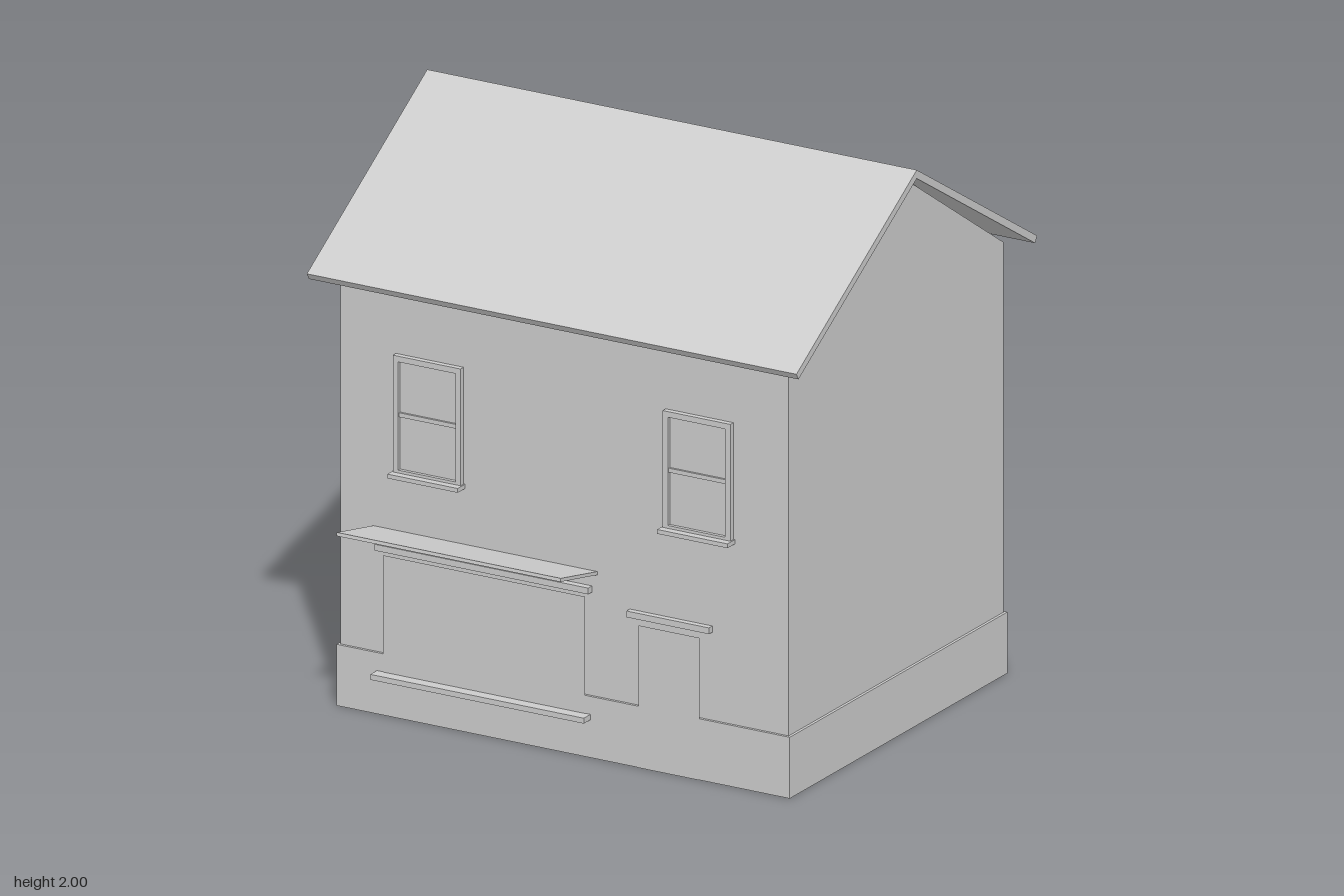
import * as THREE from 'three';

export function createModel() {
  const model = new THREE.Group();
  model.name = 'shopHouse';
  const grey = new THREE.MeshStandardMaterial({ color: 0xcccccc });
  grey.name = 'plain grey';

  const add = (name, geometry, parent = model) => {
    const mesh = new THREE.Mesh(geometry, grey);
    mesh.name = name;
    parent.add(mesh);
    return mesh;
  };
  // Box given by its limits on each axis
  const box = (name, x0, x1, y0, y1, z0, z1, parent = model) => {
    const mesh = add(name, new THREE.BoxGeometry(x1 - x0, y1 - y0, z1 - z0), parent);
    mesh.position.set((x0 + x1) / 2, (y0 + y1) / 2, (z0 + z1) / 2);
    return mesh;
  };
  // Front-facing thin panel
  const panel = (name, x0, x1, y0, y1, z, parent = model) => {
    const mesh = add(name, new THREE.PlaneGeometry(x1 - x0, y1 - y0), parent);
    mesh.position.set((x0 + x1) / 2, (y0 + y1) / 2, z);
    return mesh;
  };
  // Prism along x from a side profile of [z, y] points
  const prism = (name, points, x0, x1) => {
    const shape = new THREE.Shape(points.map(([z, y]) => new THREE.Vector2(-z, y)));
    const geometry = new THREE.ExtrudeGeometry(shape, { depth: x1 - x0, bevelEnabled: false });
    geometry.rotateY(Math.PI / 2).translate(x0, 0, 0);
    return add(name, geometry);
  };

  const front = 0.615, back = -0.765, ridge = -0.075;

  // Gabled body and plinth
  prism('walls', [[front, 0], [front, 1.515], [ridge, 1.973], [back, 1.515], [back, 0]], -0.86, 0.86);
  box('plinth', -0.87, 0.87, 0, 0.215, -0.775, 0.625);

  // Two overhanging roof slabs
  for (const s of [1, -1]) {
    prism(s > 0 ? 'frontRoof' : 'backRoof', [
      [ridge, 2], [ridge + s * 0.774, 1.526], [ridge + s * 0.761, 1.504], [ridge, 1.97],
    ], -0.94, 0.94);
  }

  // Upper windows: pane, frame, middle rail and sill
  for (const s of [-1, 1]) {
    const win = new THREE.Group();
    win.name = s > 0 ? 'leftWindow' : 'rightWindow';
    win.position.x = s * 0.518;
    model.add(win);
    const z = 0.635;
    panel('pane', -0.13, 0.13, 0.86, 1.275, 0.622, win);
    for (const e of [-1, 1]) {
      box('stile', e * 0.12 - 0.01, e * 0.12 + 0.01, 0.86, 1.275, front, z, win);
    }
    box('topRail', -0.11, 0.11, 1.255, 1.275, front, z, win);
    box('middleRail', -0.11, 0.11, 1.06, 1.075, front, 0.63, win);
    box('bottomRail', -0.11, 0.11, 0.86, 0.875, front, z, win);
    box('sill', -0.135, 0.135, 0.85, 0.865, front, 0.662, win);
  }

  // Shopfront and door
  panel('shopWindow', -0.69, 0.085, 0.02, 0.562, 0.627);
  panel('door', 0.29, 0.525, 0, 0.5, 0.627);
  box('shopLintel', -0.715, 0.105, 0.578, 0.6, front, 0.64);
  box('shopSill', -0.715, 0.105, 0.133, 0.152, front, 0.668);
  box('doorLintel', 0.25, 0.567, 0.524, 0.546, front, 0.637);

  // Awning rising outward
  prism('awning', [[front, 0.642], [front, 0.654], [0.85, 0.704], [0.852, 0.692]], -0.735, 0.125);

  return model;
}
